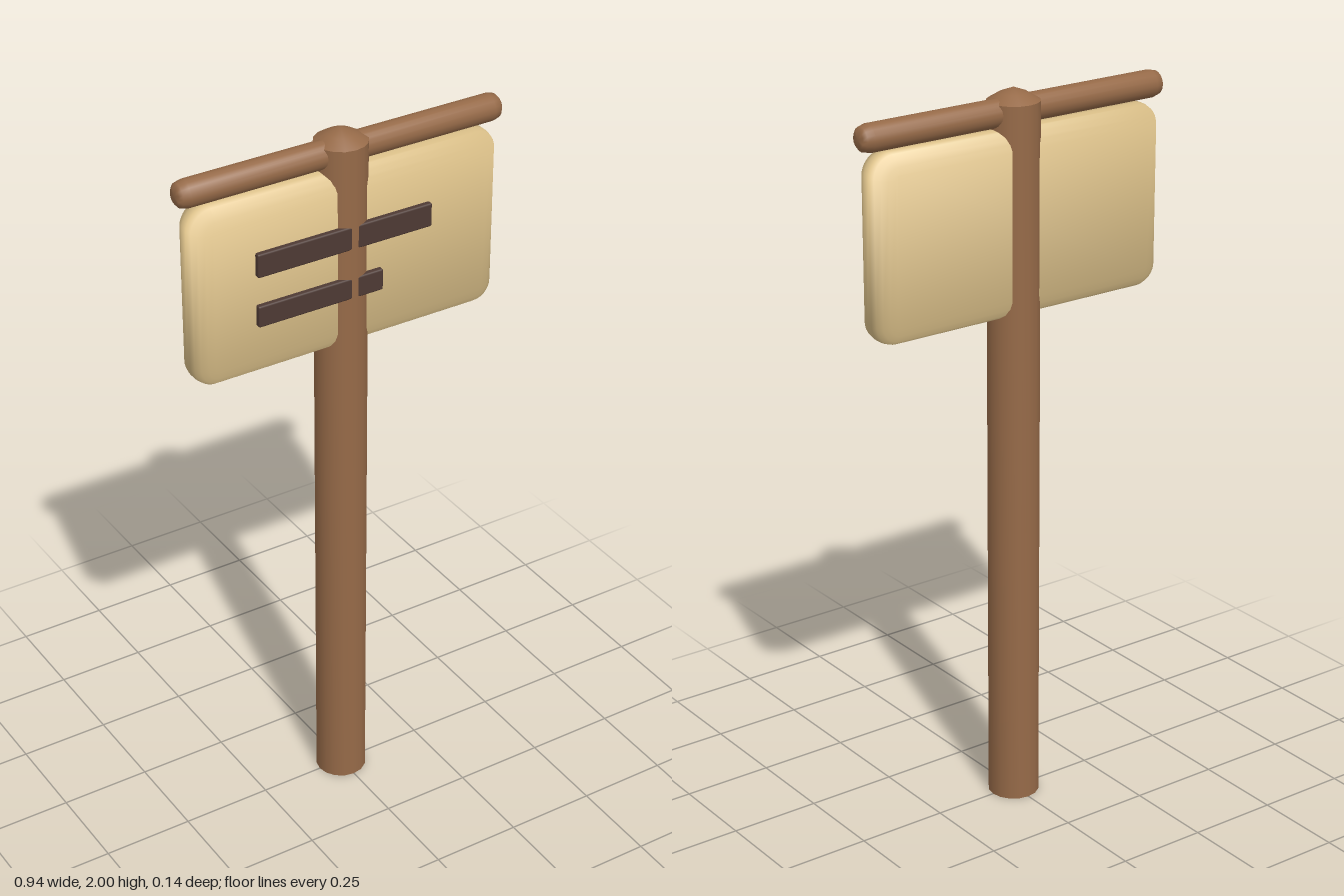
import * as THREE from 'three';
import { mergeVertices, toCreasedNormals } from 'three/addons/utils/BufferGeometryUtils.js';
import { RoundedBoxGeometry } from 'three/addons/geometries/RoundedBoxGeometry.js';

const wood = new THREE.MeshStandardMaterial({ color: 0x966a48 });
const paleWood = new THREE.MeshStandardMaterial({ color: 0xe3c78e });
const darkWood = new THREE.MeshStandardMaterial({ color: 0x4e3a34 });

function part(name, geometry, material, x = 0, y = 0, z = 0) {
  const mesh = new THREE.Mesh(geometry, material);
  mesh.name = name;
  mesh.position.set(x, y, z);
  return mesh;
}

// Turned solid from [radius, height] pairs, with crisp end rims
function turned(points, sides) {
  const profile = points.map(([r, y]) => new THREE.Vector2(r, y));
  return toCreasedNormals(new THREE.LatheGeometry(profile, sides), 0.95);
}

// Cushion-shaped board: rounded rectangle with a wide soft bevel
function boardGeometry(halfW, halfH, halfD) {
  const bevel = 0.05, r = 0.012;
  const w = halfW - bevel, h = halfH - bevel;
  const shape = new THREE.Shape();
  shape.absarc(w - r, h - r, r, 0, Math.PI / 2);
  shape.absarc(r - w, h - r, r, Math.PI / 2, Math.PI);
  shape.absarc(r - w, r - h, r, Math.PI, Math.PI * 1.5);
  shape.absarc(w - r, r - h, r, Math.PI * 1.5, Math.PI * 2);
  shape.closePath();
  const depth = 0.02;
  let geo = new THREE.ExtrudeGeometry(shape, {
    depth, bevelSize: bevel, bevelThickness: halfD - depth / 2, bevelSegments: 4, curveSegments: 4,
  });
  geo.translate(0, 0, -depth / 2);
  geo.deleteAttribute('normal');
  geo.deleteAttribute('uv');
  geo = mergeVertices(geo, 1e-4);
  geo.computeVertexNormals();
  // Pillow-like normals give the flat faces a soft swell
  const p = geo.attributes.position, n = geo.attributes.normal, v = new THREE.Vector3();
  for (let i = 0; i < p.count; i++) {
    v.set(p.getX(i) / halfW * 0.4, p.getY(i) / halfH * 0.4, p.getZ(i) / halfD).normalize();
    n.setXYZ(i, v.x, v.y, v.z);
  }
  return geo;
}

export function createModel() {
  const model = new THREE.Group();
  model.name = 'signpost';

  // Upright with a low domed top
  model.add(part('post', turned(
    [[0, 0], [0.07, 0], [0.07, 1.966], [0.037, 1.986], [0, 2]], 16), wood));

  // Crossbar with softened ends
  const bar = part('crossbar', turned(
    [[0, -0.47], [0.022, -0.468], [0.032, -0.46], [0.037, -0.44],
      [0.037, 0.44], [0.032, 0.46], [0.022, 0.468], [0, 0.47]], 16), wood, 0, 1.94);
  bar.rotation.z = -Math.PI / 2;
  model.add(bar);

  // Hanging board
  model.add(part('board', boardGeometry(0.447, 0.25, 0.054), paleWood, 0, 1.65));

  // Dark strips on the front, running through the post
  [['upperStrip', 0.23, 1.723, 0.066], ['lowerStrip', 0.085, 1.58, 0.06]].forEach(([name, right, y, h]) => {
    const left = -0.28;
    model.add(part(name, new RoundedBoxGeometry(right - left, h, 0.024, 2, 0.005), darkWood,
      (left + right) / 2, y, 0.056));
  });

  return model;
}
